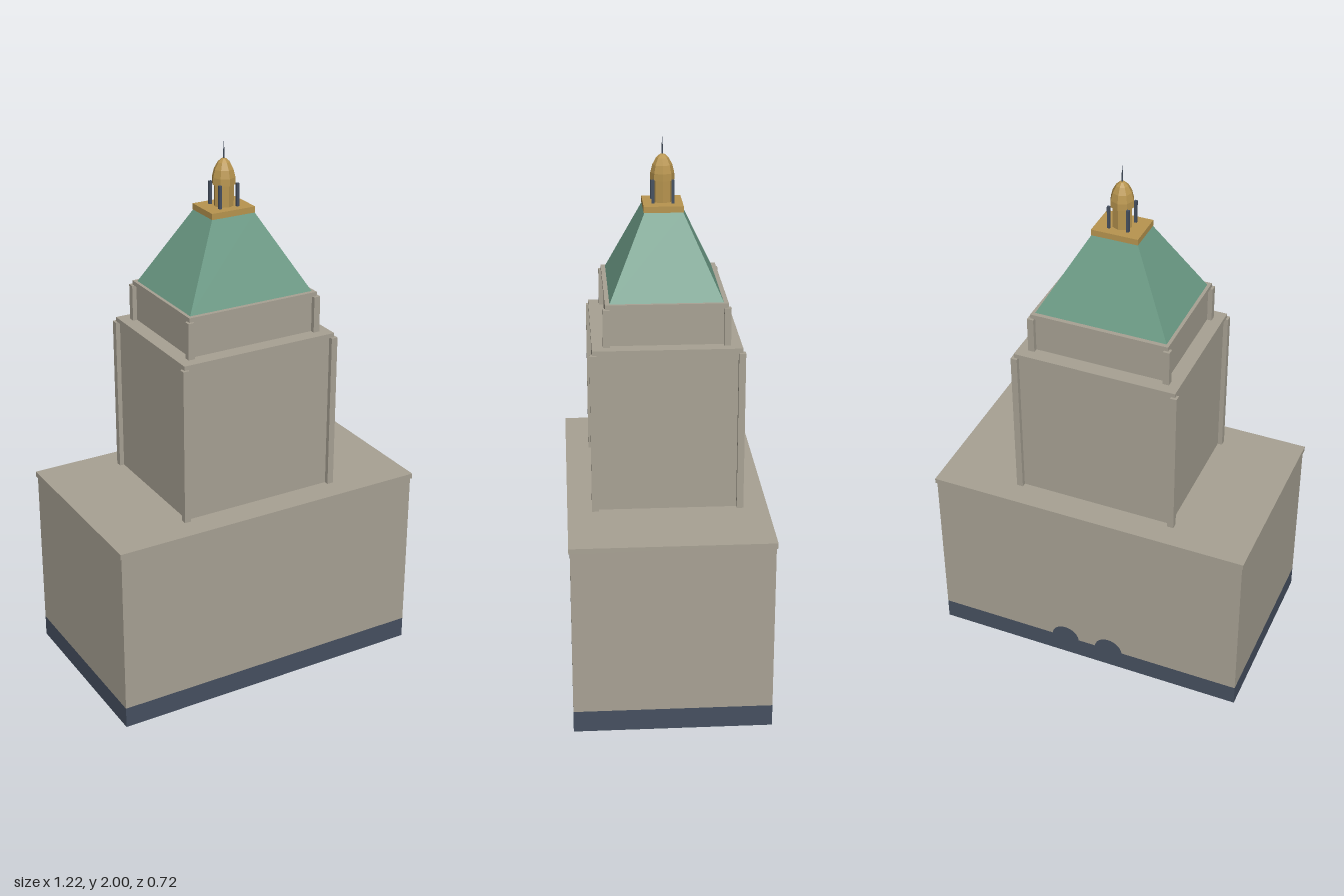
import * as THREE from 'three';

const mat = (name, color, extra = {}) => {
  const m = new THREE.MeshStandardMaterial({ color, ...extra });
  m.name = name;
  return m;
};

export function createModel() {
  const model = new THREE.Group();
  model.name = 'tower';
  const stone = mat('stone', 0xa8a294, { side: THREE.DoubleSide });
  const slate = mat('slate', 0x465060, { side: THREE.DoubleSide });
  const copper = mat('greenCopper', 0x6b9a85, { flatShading: true });
  const gold = mat('gold', 0xb8954f, { flatShading: true });

  const add = (name, geometry, material, x = 0, y = 0, z = 0) => {
    const mesh = new THREE.Mesh(geometry, material);
    mesh.name = name;
    mesh.position.set(x, y, z);
    model.add(mesh);
    return mesh;
  };
  // Box given by half sizes and its bottom and top heights
  const box = (name, hx, hz, y0, y1, material, x = 0, z = 0) =>
    add(name, new THREE.BoxGeometry(hx * 2, y1 - y0, hz * 2), material, x, (y0 + y1) / 2, z);
  // Four upright walls, open above and below
  const walls = (name, hx, hz, y0, y1, material) => {
    for (const s of [1, -1]) {
      const front = add(name, new THREE.PlaneGeometry(hx * 2, y1 - y0), material, 0, (y0 + y1) / 2, s * hz);
      if (s < 0) front.rotation.y = Math.PI;
      const side = add(name, new THREE.PlaneGeometry(hz * 2, y1 - y0), material, s * hx, (y0 + y1) / 2, 0);
      side.rotation.y = s * Math.PI / 2;
    }
  };

  // Hollow base block with a dark plinth and a thin cornice
  walls('plinth', 0.607, 0.354, 0, 0.08, slate);
  walls('baseWall', 0.607, 0.354, 0.08, 0.705, stone);
  box('baseCornice', 0.612, 0.359, 0.7, 0.72, stone);

  // Pair of round-headed doorways at the back
  for (const x of [-0.09, 0.09]) {
    const arch = add('doorArch', new THREE.CircleGeometry(0.056, 16, 0, Math.PI), slate, x, 0.078, -0.357);
    arch.rotation.y = Math.PI;
  }

  // Two stepped tiers with corner pilasters and a cornice
  const tier = (name, hx, hz, y0, y1) => {
    box(name + 'Wall', hx - 0.008, hz - 0.008, y0, y1 - 0.01, stone);
    box(name + 'Cornice', hx, hz, y1 - 0.016, y1, stone);
    for (const sx of [-1, 1])
      for (const sz of [-1, 1])
        box(name + 'Pilaster', 0.012, 0.012, y0, y1 - 0.016, stone, sx * (hx - 0.003), sz * (hz - 0.003));
  };
  tier('shaft', 0.304, 0.262, 0.72, 1.32);
  tier('upperTier', 0.257, 0.214, 1.32, 1.47);

  // Hipped roof: a box whose top is drawn in
  const roof = new THREE.BoxGeometry(0.49, 0.28, 0.396);
  const p = roof.attributes.position;
  for (let i = 0; i < p.count; i++)
    if (p.getY(i) > 0) p.setXYZ(i, Math.sign(p.getX(i)) * 0.085, p.getY(i), Math.sign(p.getZ(i)) * 0.068);
  roof.computeVertexNormals();
  add('roof', roof, copper, 0, 1.61, 0);
  box('lanternBase', 0.086, 0.07, 1.75, 1.772, gold);

  // Eight-sided lantern with corner posts, dome and needle
  add('lanternCore', new THREE.CylinderGeometry(0.036, 0.036, 0.085, 8), gold, 0, 1.8145, 0);
  for (const sx of [-1, 1])
    for (const sz of [-1, 1])
      box('lanternPost', 0.005, 0.005, 1.772, 1.855, slate, sx * 0.035, sz * 0.035);
  const profile = [[0, 1.85], [0.043, 1.85], [0.042, 1.875], [0.035, 1.903], [0.022, 1.927], [0.009, 1.939], [0, 1.942]];
  add('dome', new THREE.LatheGeometry(profile.map(([r, y]) => new THREE.Vector2(r, y)), 8), gold);
  add('needle', new THREE.CylinderGeometry(0.001, 0.003, 0.065, 6), slate, 0, 1.9675, 0);

  return model;
}
